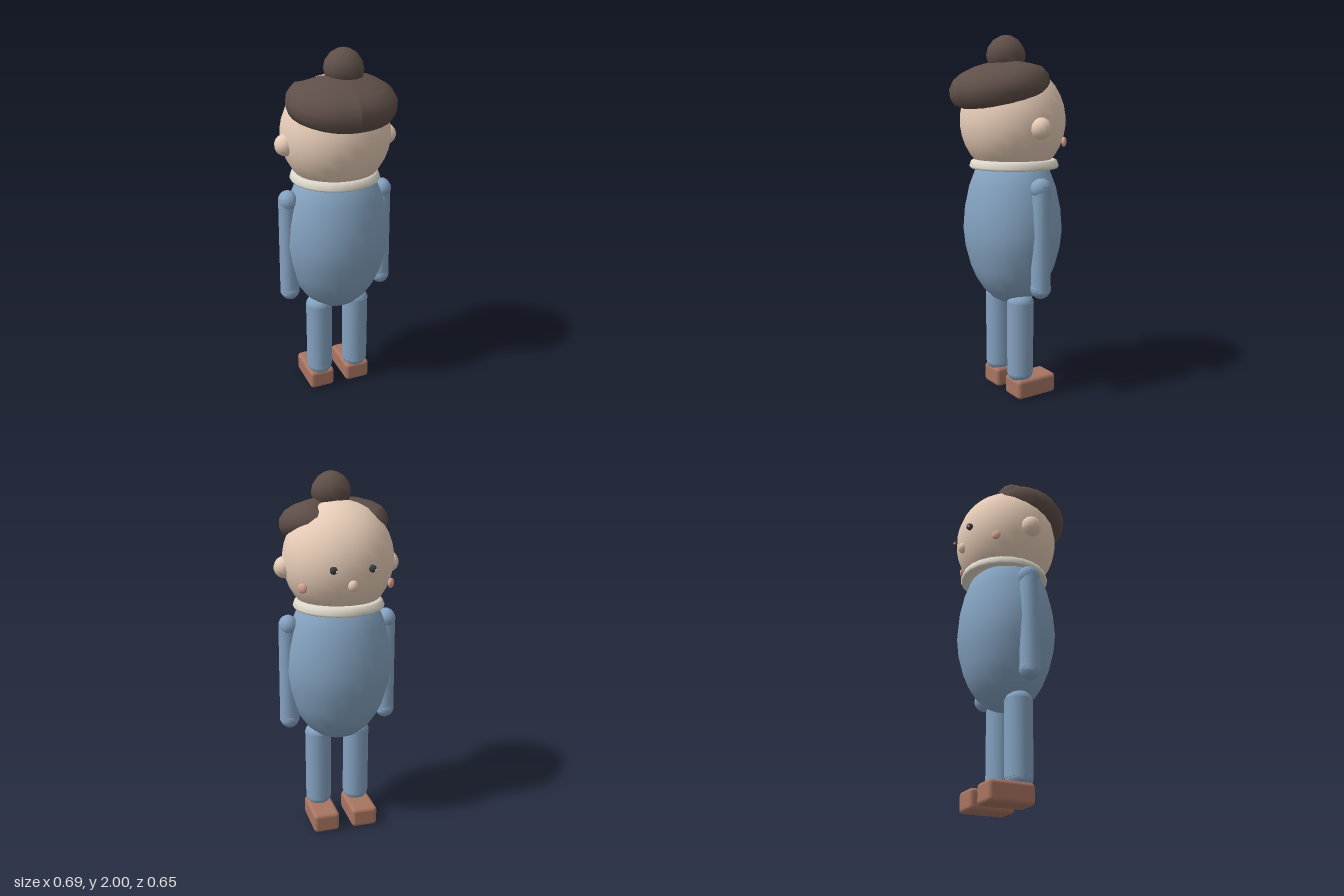
import * as THREE from 'three';
import { RoundedBoxGeometry } from 'three/addons/geometries/RoundedBoxGeometry.js';

const mat = (color) => new THREE.MeshStandardMaterial({ color });
const skin = mat(0xe8cdb8), hairBrown = mat(0x5f4f48), blue = mat(0x84a2c0);
const cream = mat(0xded9cc), leather = mat(0xa87562), pink = mat(0xd9a595);
const dark = mat(0x3c3c3c), white = mat(0xffffff);

export function createModel() {
  const root = new THREE.Group();

  const add = (name, geometry, material, x, y, z) => {
    const mesh = new THREE.Mesh(geometry, material);
    mesh.name = name;
    mesh.position.set(x, y, z);
    root.add(mesh);
    return mesh;
  };
  const ball = (name, material, x, y, z, rx, ry = rx, rz = rx, seg = 12) => {
    const mesh = add(name, new THREE.SphereGeometry(1, seg, Math.ceil(seg * 0.7)), material, x, y, z);
    mesh.scale.set(rx, ry, rz);
    return mesh;
  };
  const lathe = (points, seg) =>
    new THREE.LatheGeometry(points.map(([r, y]) => new THREE.Vector2(r, y)), seg);

  // Egg-shaped torso, slightly flattened front to back
  const body = add('body', lathe([
    [0, 0.52], [0.06, 0.527], [0.12, 0.553], [0.18, 0.605], [0.225, 0.67], [0.257, 0.74],
    [0.288, 0.85], [0.3, 0.95], [0.29, 1.07], [0.262, 1.19], [0.225, 1.28], [0.18, 1.32], [0, 1.33],
  ], 24), blue, 0, 0, -0.025);
  body.scale.z = 0.885;

  // Collar ring
  add('collar', lathe([
    [0.19, 0.015], [0.205, 0], [0.24, 0], [0.249, 0.012], [0.238, 0.042], [0.222, 0.05], [0.17, 0.05],
  ], 24), cream, 0, 1.288, -0.037);

  // Head
  ball('head', skin, 0, 1.547, -0.027, 0.3, 0.311, 0.287, 24);

  // Hair cap: tilted back, dipping under the forehead in the middle
  const hairGeo = lathe([
    [0, 0], [0.14, -0.005], [0.21, -0.004], [0.25, 0.02], [0.265, 0.06], [0.262, 0.105],
    [0.235, 0.147], [0.19, 0.175], [0.12, 0.198], [0.06, 0.207], [0, 0.21],
  ], 26);
  const p = hairGeo.attributes.position;
  for (let i = 0; i < p.count; i++) {
    const x = p.getX(i), z = p.getZ(i);
    const middle = Math.max(0, 1 - Math.pow(Math.abs(x + 0.02) / 0.17, 2));
    const front = THREE.MathUtils.smoothstep(-z, 0.06, 0.16);
    p.setY(i, p.getY(i) - 0.07 * middle * front);
    p.setZ(i, z * (1 - 0.18 * middle * front));
  }
  hairGeo.computeVertexNormals();
  const hair = add('hair', hairGeo, hairBrown, 0, 1.655, 0.045);
  hair.rotation.x = 0.2;
  hair.scale.x = 1.11;

  // Hair bun with a soft point
  const bun = add('bun', lathe([
    [0, -0.1], [0.07, -0.08], [0.1, -0.04], [0.109, 0], [0.1, 0.04], [0.07, 0.08], [0.03, 0.102], [0, 0.108],
  ], 10), hairBrown, 0.022, 1.892, 0.03);
  bun.rotation.y = 0.3;

  // Face
  ball('nose', skin, 0, 1.457, -0.297, 0.027, 0.032, 0.027);
  for (const side of [-1, 1]) {
    const s = side > 0 ? 'left' : 'right';
    ball(s + 'Ear', skin, side * 0.288, 1.513, -0.01, 0.059);
    ball(s + 'Eye', dark, side * 0.102, 1.54, -0.3, 0.02);
    ball(s + 'EyeHighlight', white, side * 0.102 - 0.012, 1.534, -0.314, 0.007, 0.007, 0.007, 8);
    const cheek = ball(s + 'Cheek', pink, side * 0.238, 1.437, -0.2, 0.026, 0.027, 0.014);
    cheek.rotation.y = side * -0.8;

    // Arm with round shoulder and hand
    const ax = side * 0.281, az = -0.023;
    add(s + 'Arm', new THREE.CylinderGeometry(0.05, 0.054, 0.57, 14), blue, ax, 0.93, az);
    ball(s + 'Shoulder', blue, ax - side * 0.002, 1.198, az, 0.053, 0.057, 0.06);
    ball(s + 'Hand', blue, ax, 0.66, az, 0.053, 0.056, 0.058);

    // Leg with round hip and ankle
    const lx = side * 0.113;
    add(s + 'Leg', new THREE.CylinderGeometry(0.075, 0.074, 0.41, 16), blue, lx, 0.345, -0.005);
    ball(s + 'Hip', blue, lx, 0.545, -0.005, 0.075, 0.057, 0.076, 14);
    ball(s + 'Ankle', blue, lx, 0.14, -0.003, 0.073, 0.055, 0.073, 14);

    // Shoe pointing the way the face looks
    add(s + 'Shoe', new RoundedBoxGeometry(0.15, 0.113, 0.255, 2, 0.022), leather, lx, 0.0565, -0.075);
  }
  return root;
}
